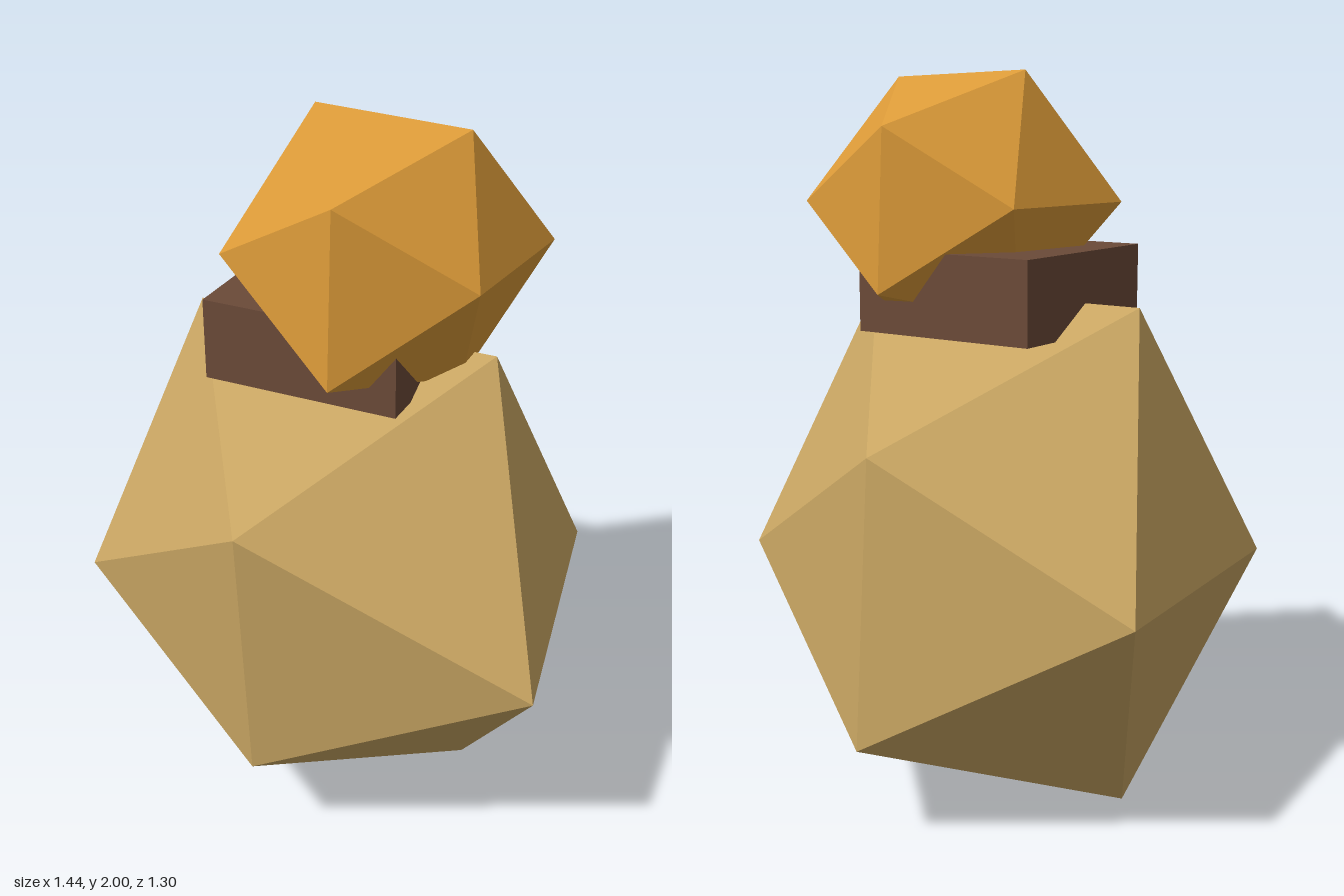
import * as THREE from 'three';

const bodyMat = new THREE.MeshStandardMaterial({ color: 0xc8a562 });
const headMat = new THREE.MeshStandardMaterial({ color: 0xdb9a38 });
const collarMat = new THREE.MeshStandardMaterial({ color: 0x6b4a38 });

// Uneven icosahedron: each of the 12 corners is pushed in or out to its own radius.
// Radii are keyed by the signs of the corner's x, y and z.
function rock(name, material, center, radii) {
  const geometry = new THREE.IcosahedronGeometry(1, 0);
  const pos = geometry.attributes.position;
  const v = new THREE.Vector3();
  const sign = (n) => (n > 0.1 ? '+' : n < -0.1 ? '-' : '0');
  for (let i = 0; i < pos.count; i++) {
    v.fromBufferAttribute(pos, i);
    v.multiplyScalar(radii[sign(v.x) + sign(v.y) + sign(v.z)]);
    pos.setXYZ(i, v.x, v.y, v.z);
  }
  // Corners are unshared, so normals come out flat
  geometry.computeVertexNormals();
  const mesh = new THREE.Mesh(geometry, material);
  mesh.name = name;
  mesh.position.set(...center);
  return mesh;
}

export function createModel() {
  const model = new THREE.Group();
  model.name = 'stackedFigure';

  model.add(rock('body', bodyMat, [-0.03, 0.675, 0], {
    '-+0': 0.84, '++0': 0.84, '--0': 0.791, '+-0': 0.746,
    '0++': 0.763, '0-+': 0.703, '0+-': 0.695, '0--': 0.765,
    '-0-': 0.811, '-0+': 0.73, '+0+': 0.876, '+0-': 0.7,
  }));

  // Block between body and head
  const collar = new THREE.Mesh(new THREE.BoxGeometry(0.55, 0.225, 0.555), collarMat);
  collar.name = 'collar';
  collar.position.set(-0.03, 1.415, 0);
  model.add(collar);

  model.add(rock('head', headMat, [0.11, 1.645, 0], {
    '-+0': 0.417, '++0': 0.4, '--0': 0.38, '+-0': 0.394,
    '0++': 0.43, '0-+': 0.463, '0+-': 0.399, '0--': 0.43,
    '-0-': 0.372, '-0+': 0.45, '+0+': 0.377, '+0-': 0.43,
  }));

  return model;
}
